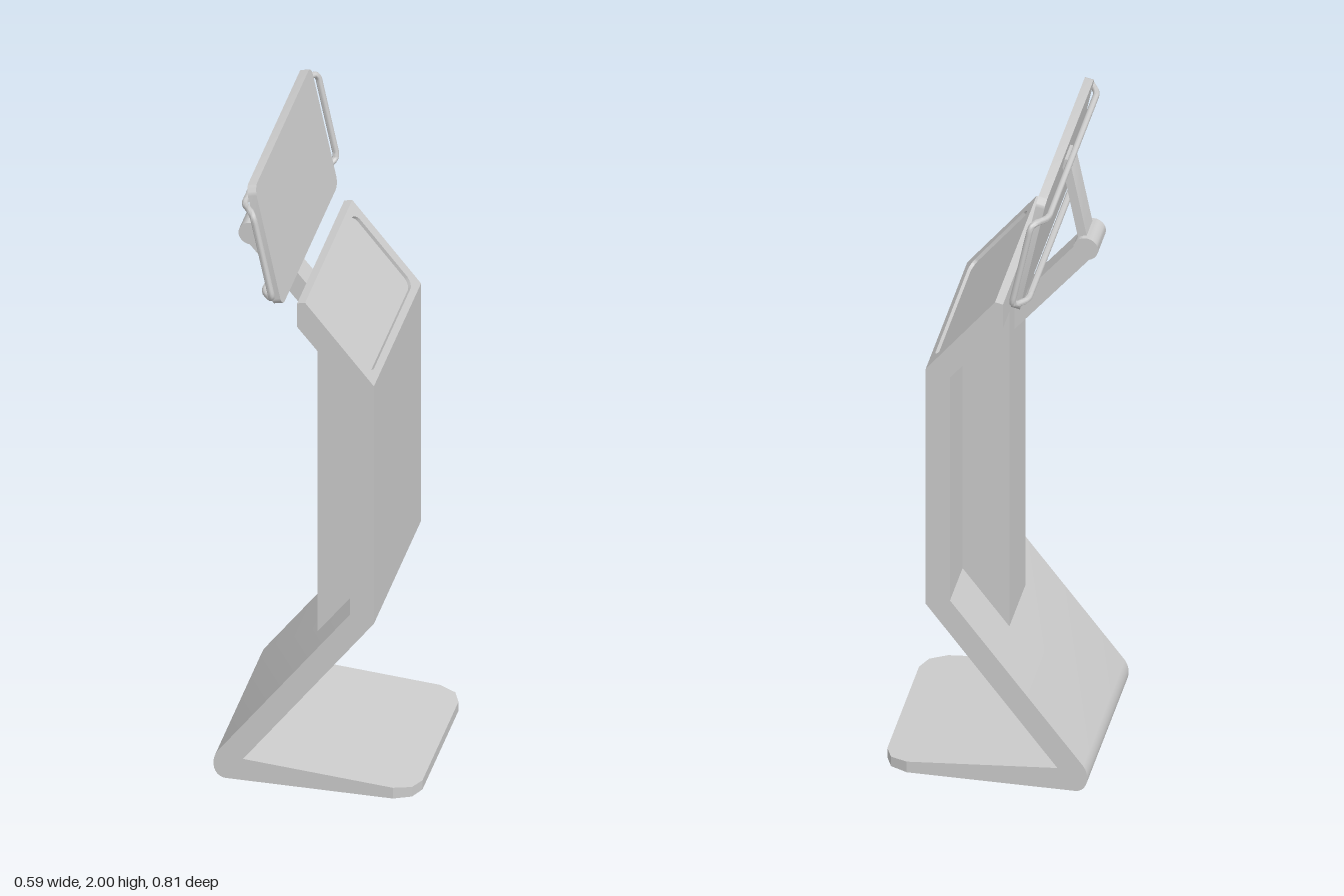
import * as THREE from 'three';
import { toCreasedNormals } from 'three/addons/utils/BufferGeometryUtils.js';

const material = new THREE.MeshStandardMaterial({ color: 0xcccccc });

function addMesh(parent, name, geometry, crease = 0.6) {
  const mesh = new THREE.Mesh(toCreasedNormals(geometry, crease), material);
  mesh.name = name;
  parent.add(mesh);
  return mesh;
}

const polygon = (points) => new THREE.Shape(points.map(([x, y]) => new THREE.Vector2(x, y)));

// Side profile in x/y, extruded evenly to both sides in z
function extrudeSide(shape, width) {
  const geometry = new THREE.ExtrudeGeometry(shape, { depth: width, bevelEnabled: false, curveSegments: 10 });
  return geometry.translate(0, 0, -width / 2);
}

function roundedRect(w, h, r, Type = THREE.Shape) {
  const s = new Type();
  const x = w / 2, y = h / 2;
  s.absarc(x - r, y - r, r, 0, Math.PI / 2);
  s.absarc(-x + r, y - r, r, Math.PI / 2, Math.PI);
  s.absarc(-x + r, -y + r, r, Math.PI, Math.PI * 1.5);
  s.absarc(x - r, -y + r, r, Math.PI * 1.5, Math.PI * 2);
  s.closePath();
  return s;
}

// Upright plate whose face looks along +x
function plate(shape, thickness) {
  const geometry = new THREE.ExtrudeGeometry(shape, { depth: thickness, bevelEnabled: false, curveSegments: 6 });
  return geometry.translate(0, 0, -thickness / 2).rotateY(Math.PI / 2);
}

export function createModel() {
  const model = new THREE.Group();
  model.name = 'kioskStand';
  const width = 0.576;

  // Desk slope, running from its lower edge to its upper edge
  const low = new THREE.Vector2(0.17, 1.355), high = new THREE.Vector2(-0.03, 1.603);
  const along = high.clone().sub(low);
  const slopeLength = along.length();
  const slopeAngle = Math.atan2(-along.x, along.y);
  const normal = new THREE.Vector2(Math.cos(slopeAngle), Math.sin(slopeAngle));
  const recess = 0.01;
  const lowIn = low.clone().addScaledVector(normal, -recess);
  const highIn = high.clone().addScaledVector(normal, -recess);

  // Folded body sheet with rounded heel
  const body = new THREE.Shape();
  body.moveTo(-0.21, 0);
  body.lineTo(-0.262, 0);
  body.bezierCurveTo(-0.295, 0.002, -0.307, 0.05, -0.285, 0.085);
  for (const [x, y] of [[0.1, 0.59], [0.1, 1.335], [-0.053, 1.52], [-0.053, 1.598], [high.x, high.y],
    [highIn.x, highIn.y], [lowIn.x, lowIn.y], [low.x, low.y], [0.17, 0.57], [-0.21, 0.07]]) body.lineTo(x, y);
  addMesh(model, 'bodySheet', extrudeSide(body, width));

  // Sloped bezel around the recessed desk panel
  const bezel = polygon([[-width / 2, -slopeLength / 2], [width / 2, -slopeLength / 2],
    [width / 2, slopeLength / 2], [-width / 2, slopeLength / 2]]);
  bezel.holes.push(roundedRect(0.504, 0.27, 0.03, THREE.Path));
  const bezelMesh = addMesh(model, 'deskBezel', plate(bezel, recess));
  const mid = low.clone().add(high).multiplyScalar(0.5).addScaledVector(normal, -recess / 2);
  bezelMesh.position.set(mid.x, mid.y, 0);
  bezelMesh.rotation.z = slopeAngle;

  // Foot plate with clipped front corners, thinning toward the front
  const foot = polygon([[-0.21, -0.288], [0.225, -0.288], [0.275, -0.265], [0.295, -0.22],
    [0.295, 0.22], [0.275, 0.265], [0.225, 0.288], [-0.21, 0.288]]);
  const footGeometry = new THREE.ExtrudeGeometry(foot, { depth: 1, bevelEnabled: false }).rotateX(-Math.PI / 2);
  const p = footGeometry.attributes.position;
  for (let i = 0; i < p.count; i++) {
    p.setY(i, p.getY(i) * (0.07 - 0.04 * (p.getX(i) + 0.21) / 0.505));
  }
  footGeometry.computeVertexNormals();
  addMesh(model, 'footPlate', footGeometry, 0.3);

  // Spine column behind the body sheet
  addMesh(model, 'spineColumn', extrudeSide(
    polygon([[-0.035, 0.405], [0.105, 0.59], [0.105, 1.335], [-0.035, 1.505]]), 0.226));

  // Support arm: lower link, pivot and upper link
  addMesh(model, 'lowerArm', extrudeSide(
    polygon([[-0.03, 1.355], [-0.265, 1.638], [-0.245, 1.664], [-0.21, 1.664], [-0.03, 1.447]]), 0.08));
  const pivot = addMesh(model, 'armPivot', new THREE.CylinderGeometry(0.036, 0.036, 0.11, 24).rotateX(Math.PI / 2));
  pivot.position.set(-0.243, 1.664, 0);
  addMesh(model, 'upperArm', extrudeSide(
    polygon([[-0.247, 1.68], [-0.198, 1.925], [-0.186, 1.946], [-0.165, 1.946], [-0.157, 1.925],
      [-0.174, 1.915], [-0.22, 1.68]]), 0.08));

  // Tilted display with its tubular handle frame
  const display = new THREE.Group();
  display.name = 'display';
  display.position.set(-0.136, 1.803, 0);
  display.rotation.z = 0.205;
  model.add(display);
  addMesh(display, 'screenSlab', plate(roundedRect(0.684, 0.39, 0.03), 0.026));

  // Closed tube behind the slab, bending forward into a handle at each side
  const quarter = [[-0.03, 0.143, 0.325], [-0.026, 0.143, 0.345], [-0.004, 0.143, 0.378],
    [0.005, 0.138, 0.391], [0.008, 0.122, 0.396]];
  const flip = (list, sy, sz) => list.map(([x, y, z]) => new THREE.Vector3(x, y * sy, z * sz));
  const loop = [
    ...flip(quarter, 1, 1), ...flip(quarter, -1, 1).reverse(),
    ...flip(quarter, -1, -1), ...flip(quarter, 1, -1).reverse()];
  const path = new THREE.CurvePath();
  loop.forEach((point, i) => path.add(new THREE.LineCurve3(point, loop[(i + 1) % loop.length])));
  const frame = new THREE.CatmullRomCurve3(path.getSpacedPoints(160).slice(0, -1), true);
  addMesh(display, 'handleFrame', new THREE.TubeGeometry(frame, 240, 0.0095, 10, true), 1);

  return model;
}
